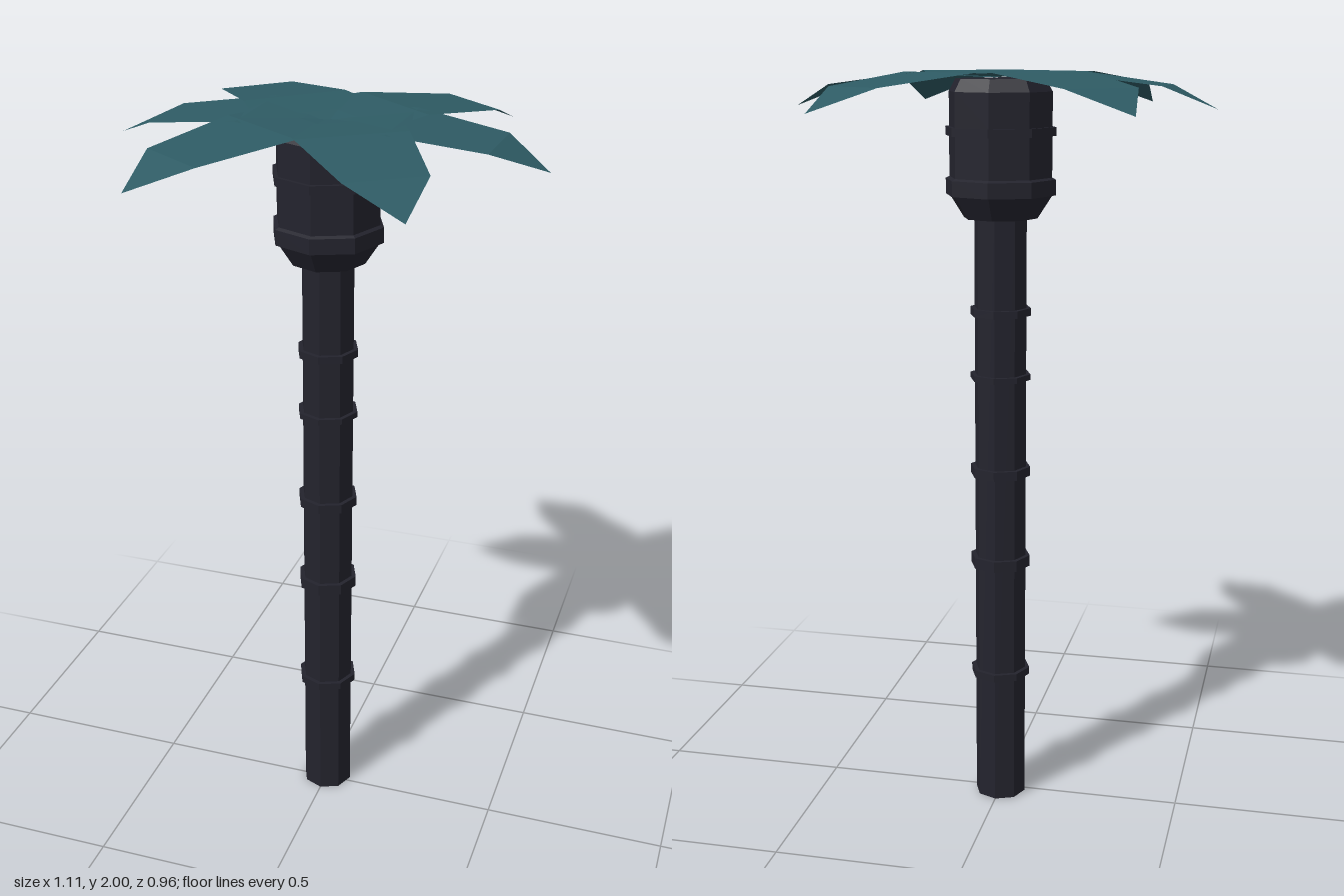
import * as THREE from 'three';

const SIDES = 8;
const AXIS_Z = -0.015;

export function createModel() {
  const model = new THREE.Group();
  model.name = 'palmTree';
  const bark = new THREE.MeshStandardMaterial({ name: 'dark bark', color: 0x23232d, flatShading: true });
  const foliage = new THREE.MeshStandardMaterial({
    name: 'teal foliage', color: 0x2e5b64, flatShading: true, side: THREE.DoubleSide,
  });

  const add = (geometry, material, name, y = 0) => {
    const mesh = new THREE.Mesh(geometry, material);
    mesh.name = name;
    mesh.position.set(0, y, AXIS_Z);
    model.add(mesh);
    return mesh;
  };

  // Faceted trunk
  add(new THREE.CylinderGeometry(0.07, 0.07, 1.64, SIDES), bark, 'trunk', 0.82);

  // Raised rings: [height, thickness]
  const rings = [[0.37, 0.02], [0.695, 0.03], [0.95, 0.025], [1.21, 0.015], [1.385, 0.02]];
  for (const [y, h] of rings) {
    add(new THREE.CylinderGeometry(0.082, 0.082, h, SIDES), bark, 'trunkRing', y);
  }

  // Swollen crown with a flared base and two bands
  const crown = [
    [0, 1.63], [0.098, 1.63], [0.137, 1.69], [0.146, 1.69], [0.146, 1.73], [0.136, 1.735],
    [0.136, 1.84], [0.146, 1.84], [0.146, 1.862], [0.136, 1.862], [0.136, 1.95], [0.118, 1.982], [0, 1.982],
  ].map(([r, y]) => new THREE.Vector2(r, y));
  add(new THREE.LatheGeometry(crown, SIDES), bark, 'crown');

  // Drooping fronds: cross-sections [distance, half width, height], ending in a tip
  const sections = [[0.0, 0.06, 1.986], [0.06, 0.165, 1.992], [0.2, 0.14, 1.999], [0.455, 0.102, 1.968], [0.59, 0, 1.91]];
  const frondGeometry = (length, lift) => {
    const positions = [];
    const index = [];
    sections.forEach(([d, w, y], i) => {
      const along = d * length / 0.59;
      positions.push(along, y + lift, w, along, y + lift, -w);
      if (i < sections.length - 1) {
        const a = i * 2;
        index.push(a, a + 2, a + 1);
        if (i < sections.length - 2) index.push(a + 1, a + 2, a + 3);
      }
    });
    // Last section closes to a point
    const g = new THREE.BufferGeometry();
    g.setAttribute('position', new THREE.Float32BufferAttribute(positions, 3));
    g.setIndex(index);
    g.computeVertexNormals();
    return g;
  };

  // Tip position of each frond on the ground plane
  const tips = [[0.553, 0], [0.36, -0.48], [-0.41, -0.47], [-0.555, -0.025], [-0.33, 0.465], [0.335, 0.478]];
  tips.forEach(([x, z], i) => {
    const dz = z - AXIS_Z;
    const frond = add(frondGeometry(Math.hypot(x, dz), (i % 3) * 0.0006 - 0.0006), foliage, 'frond');
    frond.rotation.y = Math.atan2(-dz, x);
  });

  return model;
}
